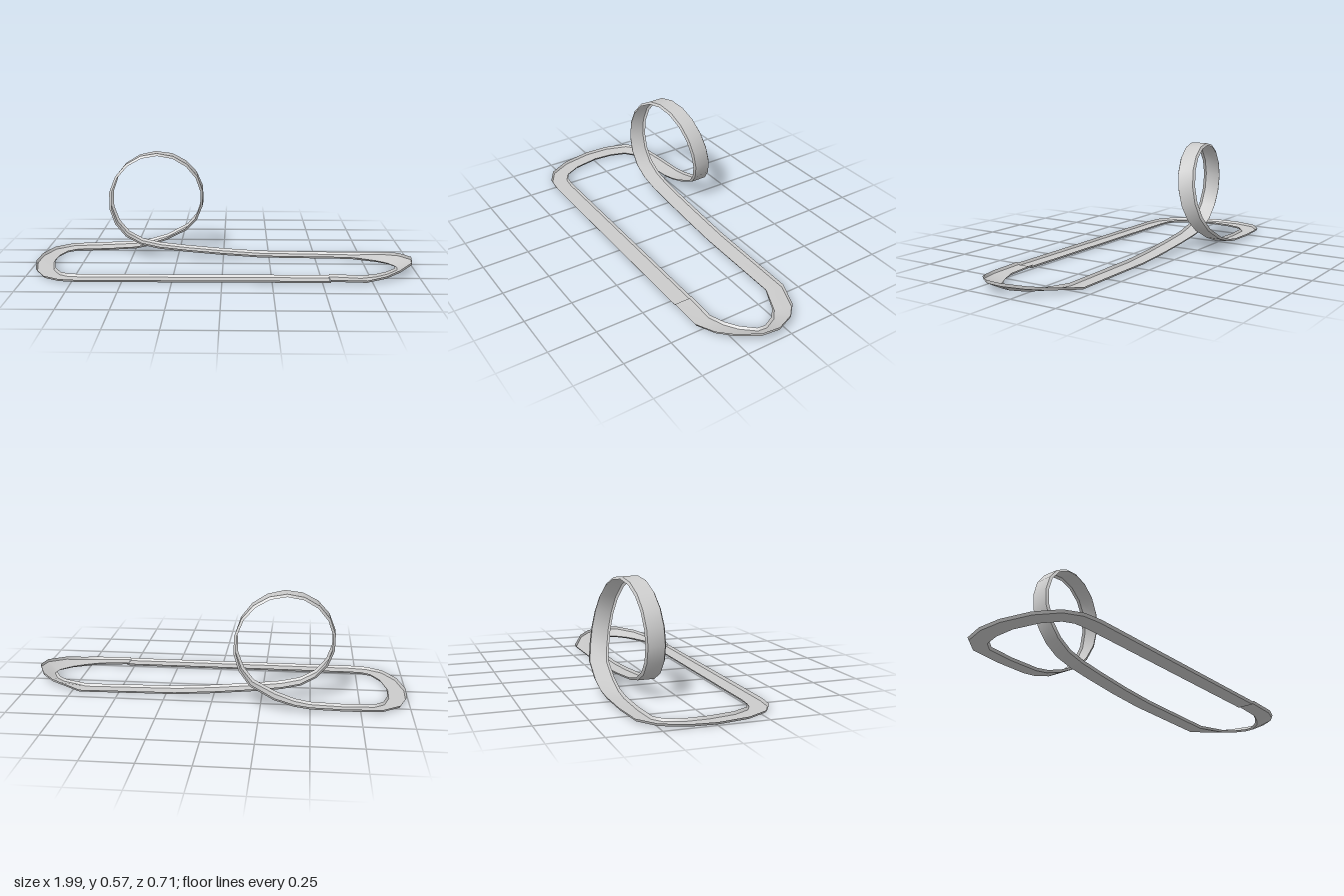
import * as THREE from 'three';

const HALF_TOP = 0.05;    // half width across the lip tops
const HALF_FLOOR = 0.042; // half width of the flat floor
const LIP = 0.013;        // lip height

// Stations along the centre line: x, y, z, bank in degrees (outer side up)
const firstStretch = [
  [0.54, 0.008, 0.3, 0], [-0.72, 0.006, 0.3, 0],
  // flat left turn
  [-0.8, 0.006, 0.29, 0], [-0.865, 0.006, 0.25, 0], [-0.92, 0.006, 0.15, 0],
  [-0.95, 0.007, 0, 0], [-0.945, 0.007, -0.12, 2], [-0.91, 0.008, -0.225, 4],
  [-0.84, 0.009, -0.28, 5], [-0.68, 0.01, -0.295, 6],
  // run-in to the loop
  [-0.5, 0.018, -0.303, 5], [-0.42, 0.032, -0.306, 3], [-0.32, 0.065, -0.305, 0],
];
const lastStretch = [
  // run-out from the loop
  [-0.45, 0.083, -0.133, 0], [-0.35, 0.06, -0.134, 0], [-0.2, 0.043, -0.136, 0],
  [0, 0.025, -0.138, 0], [0.2, 0.012, -0.138, 0], [0.7, 0.006, -0.138, 0],
  // banked right turn
  [0.85, 0.018, -0.07, 16], [0.91, 0.025, -0.015, 23], [0.95, 0.031, 0.07, 27],
  [0.94, 0.029, 0.14, 26], [0.87, 0.021, 0.22, 18], [0.8, 0.012, 0.265, 9],
  [0.71, 0.008, 0.3, 2], [0.54, 0.014, 0.3, 0],
];

function loopStations() {
  const list = [];
  const steps = 14, cx = -0.366, cy = 0.322, r = 0.254;
  for (let i = 0; i <= steps; i++) {
    const t = i / steps;
    const a = THREE.MathUtils.degToRad(40 + 280 * t);
    list.push({
      p: new THREE.Vector3(cx + r * Math.sin(a), cy - r * Math.cos(a), -0.132 - 0.168 * (1 - t) ** 1.6),
      up: new THREE.Vector3(-Math.sin(a), Math.cos(a), 0),
      bank: 0,
    });
  }
  return list;
}

const station = ([x, y, z, bank]) => ({
  p: new THREE.Vector3(x, y, z), up: new THREE.Vector3(0, 1, 0), bank: THREE.MathUtils.degToRad(bank),
});

// Four cross-section points per station: lip top, floor edge, floor edge, lip top
function crossSections(stations) {
  const dir = (i) => stations[i + 1].p.clone().sub(stations[i].p).normalize();
  const last = stations.length - 1;
  return stations.map(({ p, up, bank }, i) => {
    const tangent = dir(Math.max(i - 1, 0)).add(dir(Math.min(i, last - 1))).normalize();
    const side = tangent.clone().cross(up).normalize().applyAxisAngle(tangent, bank);
    const normal = side.clone().cross(tangent);
    return [[-HALF_TOP, LIP], [-HALF_FLOOR, 0], [HALF_FLOOR, 0], [HALF_TOP, LIP]]
      .map(([s, h]) => p.clone().addScaledVector(side, s).addScaledVector(normal, h));
  });
}

// Strip between two columns of the cross-sections
function strip(sections, column) {
  const positions = [], index = [];
  sections.forEach((s, i) => {
    positions.push(...s[column].toArray(), ...s[column + 1].toArray());
    if (i === 0) return;
    const a = 2 * i - 2;
    index.push(a, a + 1, a + 2, a + 1, a + 3, a + 2);
  });
  const geometry = new THREE.BufferGeometry();
  geometry.setAttribute('position', new THREE.Float32BufferAttribute(positions, 3));
  geometry.setIndex(index);
  geometry.computeVertexNormals();
  return geometry;
}

export function createModel() {
  const model = new THREE.Group();
  model.name = 'loopTrack';
  const material = new THREE.MeshStandardMaterial({ color: 0xcccccc, side: THREE.DoubleSide });
  const sections = crossSections([
    ...firstStretch.map(station), ...loopStations(), ...lastStretch.map(station),
  ]);
  ['outerLip', 'trackFloor', 'innerLip'].forEach((name, column) => {
    const mesh = new THREE.Mesh(strip(sections, column), material);
    mesh.name = name;
    model.add(mesh);
  });
  return model;
}
